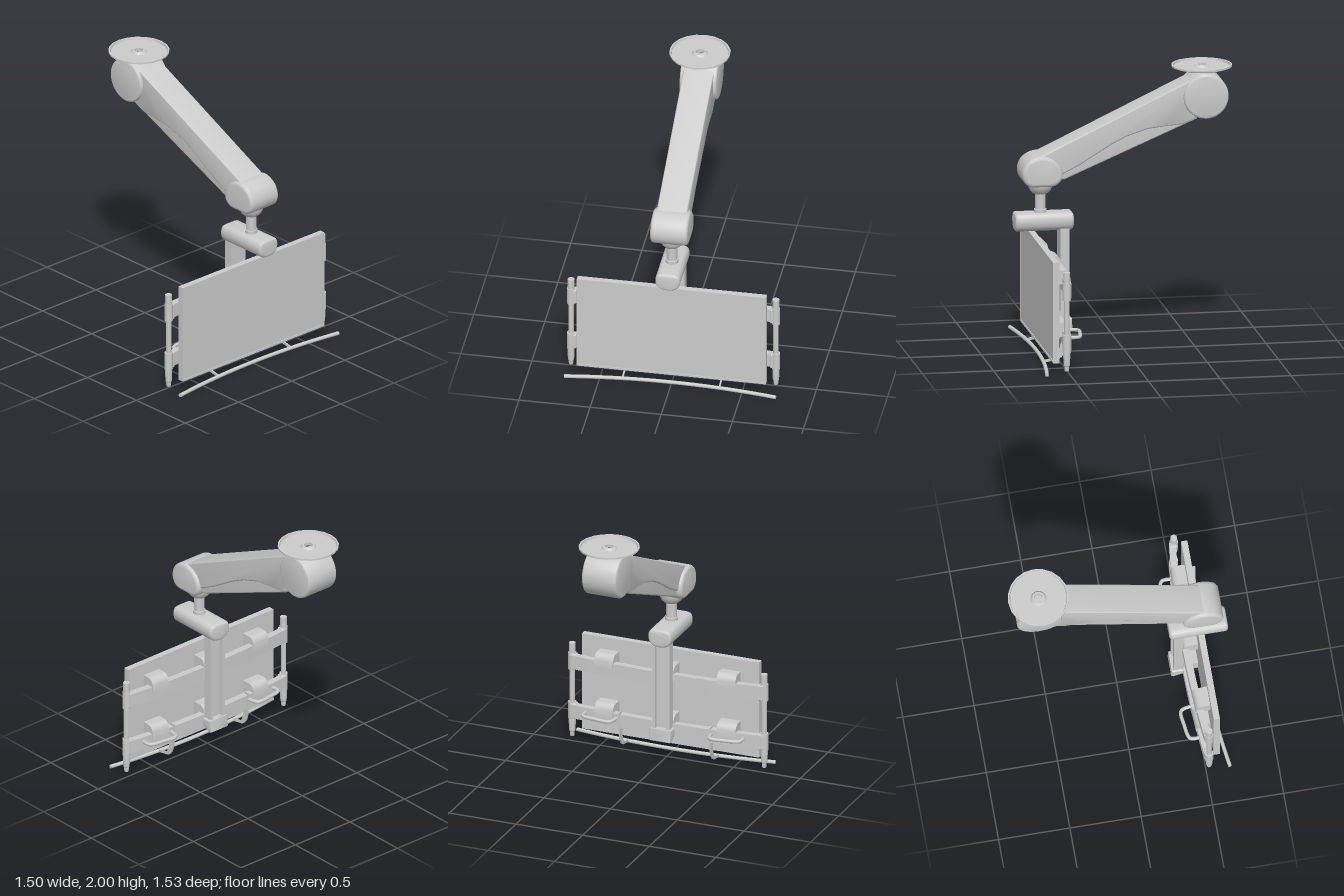
import * as THREE from 'three';
import { toCreasedNormals } from 'three/addons/utils/BufferGeometryUtils.js';
import { RoundedBoxGeometry } from 'three/addons/geometries/RoundedBoxGeometry.js';

const grey = new THREE.MeshStandardMaterial({ color: 0xcccccc });
const vecs = pts => pts.map(p => new THREE.Vector2(p[0], p[1]));
const poly = pts => new THREE.Shape(vecs(pts));
const blob = pts => {
  const curve = new THREE.CatmullRomCurve3(pts.map(p => new THREE.Vector3(p[0], p[1], 0)), true);
  return new THREE.Shape(curve.getPoints(48).slice(0, -1).map(p => new THREE.Vector2(p.x, p.y)));
};

// Extrusion centred on its own depth, with an inward bevel
function slab(shape, width, bevel = 0) {
  const depth = width - 2 * bevel;
  const geo = new THREE.ExtrudeGeometry(shape, {
    depth, bevelEnabled: bevel > 0, bevelSize: bevel, bevelThickness: bevel,
    bevelOffset: -bevel, bevelSegments: 4, curveSegments: 20,
  });
  geo.translate(0, 0, -depth / 2);
  return toCreasedNormals(geo, 0.6);
}
// Profile given in (z, y), extruded across x
const across = (shape, width, bevel) => slab(shape, width, bevel).rotateY(-Math.PI / 2);
// Plan given in (x, -z), extruded upward
const upright = (shape, height) => slab(shape, height).rotateX(-Math.PI / 2);
const lathe = (pts, sides) => toCreasedNormals(new THREE.LatheGeometry(vecs(pts), sides), 0.6);

export function createModel() {
  const model = new THREE.Group();
  const add = (name, geo, x = 0, y = 0, z = 0) => {
    const mesh = new THREE.Mesh(geo, grey);
    mesh.name = name;
    mesh.position.set(x, y, z);
    model.add(mesh);
    return mesh;
  };
  const tube = (name, pts, radius, segments = 40) => add(name, new THREE.TubeGeometry(
    new THREE.CatmullRomCurve3(pts.map(p => new THREE.Vector3(...p)), false, 'centripetal'), segments, radius, 10));

  // Ceiling plate: shallow dish with a hollow hub
  add('ceilingPlate', lathe([
    [0.03, 1.976], [0.17, 1.974], [0.212, 1.988], [0.212, 2], [0.201, 2], [0.197, 1.985],
    [0.056, 1.985], [0.043, 2], [0.03, 2], [0.03, 1.976]], 20), -0.01, 0, -0.55);

  // Main arm: shoulder drum, two-part beam, elbow housing
  const drum = new THREE.Shape();
  drum.absarc(-0.56, 1.797, 0.158, 0, Math.PI * 2);
  add('shoulderDrum', across(drum, 0.26, 0.018));
  add('armUpperShell', across(poly([
    [-0.5, 1.935], [-0.5, 1.65], [-0.4, 1.605], [-0.28, 1.595], [-0.15, 1.58], [0, 1.53], [0.1, 1.48],
    [0.2, 1.42], [0.32, 1.345], [0.45, 1.28], [0.6, 1.25], [0.62, 1.405]]), 0.214, 0.012));
  add('armLowerShell', across(poly([
    [-0.5, 1.8], [-0.5, 1.638], [0.43, 1.242], [0.6, 1.24], [0.6, 1.38]]), 0.19, 0.012));
  add('elbowHousing', across(blob([
    [0.5, 1.205], [0.59, 1.2], [0.68, 1.205], [0.718, 1.24], [0.73, 1.3], [0.695, 1.375],
    [0.6, 1.417], [0.505, 1.385], [0.452, 1.31], [0.455, 1.245]]), 0.264, 0.025));

  // Swivel neck
  add('swivelNeck', lathe([
    [0, 0.99], [0.044, 0.99], [0.044, 1.022], [0.037, 1.024], [0.037, 1.13], [0.052, 1.135],
    [0.07, 1.152], [0.083, 1.178], [0.088, 1.205], [0, 1.205]], 32), 0, 0, 0.585);

  // Horizontal bracket and its drop post
  add('bracket', slab(blob([
    [-0.07, 0.992], [0, 1], [0.07, 0.992], [0.087, 0.95], [0.075, 0.9], [0.045, 0.877],
    [0, 0.87], [-0.045, 0.877], [-0.075, 0.9], [-0.087, 0.95]]), 0.41, 0.02), 0, 0, 0.565);
  add('dropPost', upright(poly([
    [-0.065, -0.455], [0.065, -0.455], [0.065, -0.39], [0.042, -0.39], [0.042, -0.42],
    [-0.042, -0.42], [-0.042, -0.39], [-0.065, -0.39]]), 0.7), 0, 0.54, 0);
  add('postFoot', across(poly([
    [0.46, 0.25], [0.375, 0.25], [0.37, 0.165], [0.385, 0.155], [0.46, 0.19]]), 0.16, 0.01));

  // Display panel with a slim raised frame
  add('panelBody', new THREE.BoxGeometry(1.33, 0.715, 0.038), 0, 0.4325, 0.586);
  const frame = poly([[-0.665, -0.3575], [0.665, -0.3575], [0.665, 0.3575], [-0.665, 0.3575]]);
  frame.holes.push(new THREE.Path(vecs([[-0.65, -0.343], [-0.65, 0.343], [0.65, 0.343], [0.65, -0.343]])));
  add('panelFrame', slab(frame, 0.01), 0, 0.4325, 0.606);

  // Curved cross rails with mounting blocks and end clamps
  const railZ = x => 0.475 + 0.04 * (x / 0.72) ** 2;
  const front = [], back = [];
  for (let i = 0; i <= 24; i++) {
    const x = -0.72 + 0.06 * i;
    front.push([x, -railZ(x) - 0.024]);
    back.unshift([x, -railZ(x) + 0.024]);
  }
  const blockShape = new THREE.Shape();
  blockShape.moveTo(0.57, -0.05);
  blockShape.lineTo(0.57, 0.05);
  blockShape.lineTo(0.51, 0.05);
  blockShape.quadraticCurveTo(0.465, 0.05, 0.46, -0.01);
  blockShape.lineTo(0.46, -0.05);
  for (const y of [0.595, 0.225]) {
    add('crossRail', upright(poly([...front, ...back]), 0.1), 0, y, 0);
    for (const x of [-0.457, 0, 0.457]) {
      const block = add('mountBlock', across(blockShape, 0.14), x, y + 0.055, x ? 0 : -0.01);
      block.rotation.y = -x * 0.1;
      block.position.z += x ? 0.003 : 0;
      block.position.x += x * 0.1 * 0.5;
    }
  }

  for (const side of [-1, 1]) {
    // Side poles with stepped tips, clamped to the rails
    add('sidePole', lathe([
      [0, 0.03], [0.014, 0.03], [0.017, 0.04], [0.017, 0.065], [0.022, 0.07], [0.025, 0.13], [0.025, 0.16],
      [0.019, 0.165], [0.019, 0.645], [0.024, 0.65], [0.024, 0.73], [0, 0.73]], 20), side * 0.72, 0, 0.525);
    for (const y of [0.595, 0.225]) {
      add('poleClamp', new THREE.CylinderGeometry(0.029, 0.029, 0.125, 24), side * 0.72, y, 0.525);
      add('clampBlock', new RoundedBoxGeometry(0.05, 0.115, 0.054, 3, 0.01), side * 0.705, y, 0.52);
    }

    // Grab handle behind the lower rail
    const hx = x => side * x + 0.01;
    tube('grabHandle', [
      [hx(0.355), 0.24, 0.465], [hx(0.362), 0.24, 0.42], [hx(0.375), 0.24, 0.392], [hx(0.4), 0.24, 0.383],
      [hx(0.48), 0.24, 0.392], [hx(0.56), 0.24, 0.404], [hx(0.585), 0.24, 0.417],
      [hx(0.593), 0.24, 0.445], [hx(0.588), 0.24, 0.495]], 0.013);

    // Flat hooked strip carrying the front bar
    const hook = new THREE.Shape();
    hook.moveTo(0.455, 0.29);
    hook.lineTo(0.46, 0.16);
    hook.quadraticCurveTo(0.465, 0.04, 0.53, 0.025);
    hook.lineTo(0.62, 0.008);
    hook.lineTo(0.62, 0.026);
    hook.lineTo(0.55, 0.04);
    hook.quadraticCurveTo(0.505, 0.055, 0.502, 0.16);
    hook.lineTo(0.495, 0.29);
    add('barHook', across(hook, 0.01), side * 0.34, 0, 0);
  }

  // Curved bar along the bottom front
  const barPts = [];
  for (let i = -6; i <= 6; i++) barPts.push([i * 0.124, 0.015, 0.61 + 0.058 * (i / 6) ** 2]);
  tube('frontBar', barPts, 0.0135, 48);
  for (const side of [-1, 1]) {
    const cap = add('barEnd', new THREE.CircleGeometry(0.0135, 10), side * 0.744, 0.015, 0.668);
    cap.rotation.y = side * (Math.PI / 2 - 0.155);
  }
  return model;
}
